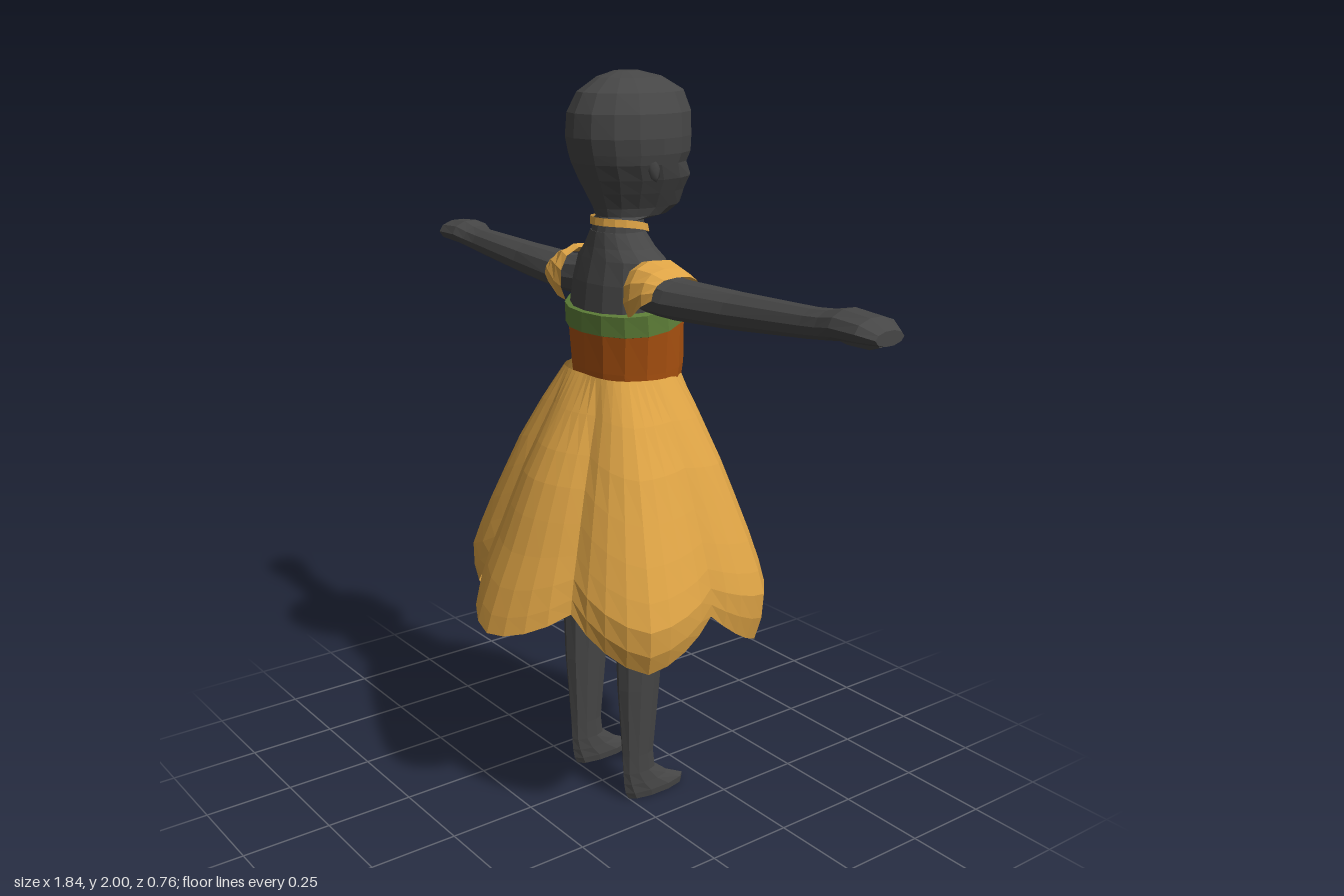
import * as THREE from 'three';

const mat = (name, color, side = THREE.FrontSide) => {
  const m = new THREE.MeshStandardMaterial({ color, side });
  m.name = name;
  return m;
};

// Faceted skin through a list of point rings; closed rings wrap around and may get end caps
function loft(rings, { closed = true, caps = true, flip = false } = {}) {
  const centre = (r) => r.map(() => [0, 1, 2].map((k) => r.reduce((s, p) => s + p[k], 0) / r.length));
  const all = closed && caps ? [centre(rings[0]), ...rings, centre(rings[rings.length - 1])] : rings;
  const n = all[0].length, index = [];
  for (let i = 0; i < all.length - 1; i++) {
    for (let j = 0; j < (closed ? n : n - 1); j++) {
      const a = i * n + j, b = i * n + (j + 1) % n, c = a + n, d = b + n;
      index.push(...(flip ? [a, c, b, b, c, d] : [a, b, c, b, d, c]));
    }
  }
  const g = new THREE.BufferGeometry();
  g.setAttribute('position', new THREE.Float32BufferAttribute(all.flat(2), 3));
  g.setIndex(index);
  const flat = g.toNonIndexed();
  flat.computeVertexNormals();
  return flat;
}

// Level ring: height at +z side, height at -z side, half width, z limits, x offset
const ring = ([yb, yf, rx, zb, zf], x0 = 0, n = 16) => Array.from({ length: n }, (_, j) => {
  const a = (j / n) * Math.PI * 2, c = Math.cos(a);
  const t = Math.pow((1 - c) / 2, 2);
  return [x0 + rx * Math.sin(a), yb + (yf - yb) * t, (zb + zf) / 2 + (zb - zf) / 2 * c];
});
const level = ([y, rx, zb, zf]) => [y, y, rx, zb, zf];

// Upright ring around the x axis, for arms
const armRing = ([x, y, ry, z, rz], s, n = 10) => Array.from({ length: n }, (_, j) => {
  const a = (j / n) * Math.PI * 2;
  return [s * x, y - ry * Math.sin(a), z + rz * Math.cos(a)];
});

// Skirt rib: an angle from +z and a [radius, y] curve from waist to hem
const rib = (degrees, ...profile) => ({
  angle: THREE.MathUtils.degToRad(degrees),
  curve: new THREE.SplineCurve(profile.map(([r, y]) => new THREE.Vector2(r, y))),
});
const mirrored = ({ angle, curve }) => ({ angle: -angle, curve });

// Skirt petal: bulges along its middle rib and falls back to the valley rib on either side
function petal(from, middle, to, roundness) {
  const rows = 8, cols = 8, grid = [];
  for (let i = 0; i <= rows; i++) {
    const v = 1 - i / rows, row = [];
    for (let j = 0; j <= cols; j++) {
      const u = (j / cols) * 2 - 1, edge = u < 0 ? from : to;
      const p = middle.curve.getPoint(v).lerp(edge.curve.getPoint(v), Math.pow(Math.abs(u), roundness));
      const a = THREE.MathUtils.lerp(middle.angle, edge.angle, Math.abs(u));
      row.push([p.x * Math.sin(a), p.y, -0.05 + p.x * Math.cos(a)]);
    }
    grid.push(row);
  }
  return loft(grid, { closed: false });
}

export function createModel() {
  const model = new THREE.Group();
  model.name = 'dollInPetalDress';
  const skin = mat('charcoal', 0x464646);
  const gold = mat('gold', 0xdda345, THREE.DoubleSide);
  const rust = mat('rust', 0xab5210, THREE.DoubleSide);
  const green = mat('leafGreen', 0x5f8039, THREE.DoubleSide);
  const add = (name, geometry, material) => {
    const m = new THREE.Mesh(geometry, material);
    m.name = name;
    model.add(m);
    return m;
  };

  // Head and neck
  add('head', loft([
    [1.57, 0.077, 0.025, -0.125], [1.63, 0.07, 0.01, -0.115], [1.638, 0.071, 0.01, -0.2],
    [1.66, 0.08, 0.018, -0.24], [1.7, 0.103, 0.038, -0.25], [1.735, 0.122, 0.056, -0.264],
    [1.775, 0.137, 0.073, -0.243], [1.8, 0.143, 0.081, -0.256], [1.84, 0.147, 0.09, -0.257],
    [1.9, 0.141, 0.086, -0.257], [1.95, 0.117, 0.06, -0.238], [1.985, 0.07, 0.008, -0.175],
    [2.0, 0.025, -0.04, -0.11],
  ].map((r) => ring(level(r)))), skin);
  for (const s of [1, -1]) {
    const ear = add(s > 0 ? 'leftEar' : 'rightEar', new THREE.OctahedronGeometry(0.03, 1), skin);
    ear.scale.set(0.4, 1.5, 0.7);
    ear.rotation.x = 0.2;
    ear.position.set(s * 0.125, 1.775, -0.068);
  }

  // Choker
  add('choker', loft([
    [1.617, 1.588, 0.077, 0.024, -0.135], [1.637, 1.607, 0.075, 0.022, -0.13],
  ].map((r) => ring(r)), { caps: false }), gold);

  // Shoulders and chest
  add('torso', loft([
    [1.3, 0.165, 0.05, -0.19], [1.4, 0.165, 0.058, -0.19], [1.47, 0.155, 0.05, -0.18],
    [1.53, 0.14, 0.035, -0.16], [1.56, 0.105, 0.028, -0.14], [1.6, 0.075, 0.02, -0.12],
  ].map((r) => ring(level(r)))), skin);

  // Bodice and its trim
  add('bodice', loft([
    [1.19, 1.19, 0.163, 0.05, -0.21], [1.24, 1.26, 0.168, 0.056, -0.22],
    [1.35, 1.42, 0.18, 0.06, -0.212],
  ].map((r) => ring(r)), { caps: false }), rust);
  add('bodiceTrim', loft([
    [1.34, 1.41, 0.18, 0.06, -0.212], [1.342, 1.412, 0.187, 0.067, -0.218],
    [1.395, 1.488, 0.187, 0.067, -0.2], [1.4, 1.492, 0.165, 0.055, -0.18],
  ].map((r) => ring(r)), { caps: false }), green);

  // Petal skirt: crests and valleys from the +z side round to the -z side
  const crest0 = rib(0, [0.11, 1.23], [0.21, 1.08], [0.28, 0.95], [0.34, 0.8], [0.4, 0.66], [0.43, 0.57]);
  const valley1 = rib(34, [0.13, 1.23], [0.2, 1.08], [0.26, 0.95], [0.31, 0.82], [0.345, 0.73], [0.36, 0.66]);
  const crest1 = rib(64, [0.155, 1.23], [0.275, 1.05], [0.36, 0.88], [0.425, 0.74], [0.46, 0.63], [0.43, 0.53]);
  const valley2 = rib(92, [0.168, 1.23], [0.26, 1.06], [0.325, 0.9], [0.37, 0.78], [0.39, 0.7], [0.39, 0.64]);
  const crest2 = rib(115, [0.17, 1.23], [0.28, 1.05], [0.36, 0.88], [0.42, 0.74], [0.445, 0.64], [0.42, 0.53]);
  const valley3 = rib(146, [0.165, 1.23], [0.21, 1.08], [0.25, 0.95], [0.285, 0.82], [0.31, 0.72], [0.32, 0.63]);
  const crest3 = rib(180, [0.165, 1.23], [0.21, 1.08], [0.255, 0.93], [0.3, 0.79], [0.335, 0.65], [0.31, 0.5]);
  const valley4 = rib(214);
  valley4.curve = valley3.curve;
  add('backPetal', petal(mirrored(valley1), crest0, valley1, 1.6), gold);
  add('frontPetal', petal(valley3, crest3, valley4, 2), gold);
  for (const [name, a, b, c] of [['BackSidePetal', valley1, crest1, valley2], ['FrontSidePetal', valley2, crest2, valley3]]) {
    add('left' + name, petal(a, b, c, 1.4), gold);
    add('right' + name, petal(mirrored(c), mirrored(b), mirrored(a), 1.4), gold);
  }

  for (const s of [1, -1]) {
    const side = s > 0 ? 'left' : 'right';
    // Arm with mitten hand and thumb
    add(side + 'Arm', loft([
      [0.1, 1.46, 0.06, -0.06, 0.07], [0.25, 1.452, 0.051, -0.064, 0.076],
      [0.45, 1.457, 0.046, -0.075, 0.06], [0.7, 1.472, 0.037, -0.08, 0.046],
      [0.75, 1.477, 0.036, -0.085, 0.052], [0.8, 1.486, 0.038, -0.09, 0.065],
      [0.88, 1.485, 0.032, -0.093, 0.067], [0.92, 1.475, 0.018, -0.095, 0.045],
    ].map((r) => armRing(r, s)), { flip: s < 0 }), skin);
    add(side + 'Thumb', loft([
      [0.72, 1.465, 0.015, -0.1, 0.02], [0.78, 1.45, 0.02, -0.12, 0.022],
      [0.84, 1.443, 0.015, -0.128, 0.018], [0.865, 1.445, 0.007, -0.128, 0.009],
    ].map((r) => armRing(r, s, 6)), { flip: s < 0 }), skin);

    // Cap sleeve arching over the shoulder, longer on the inner edge
    add(side + 'Sleeve', loft([
      [0.138, 1.455, 0.083, -0.05, 0.088], [0.165, 1.457, 0.087, -0.05, 0.09],
      [0.205, 1.457, 0.07, -0.055, 0.088], [0.235, 1.457, 0.051, -0.06, 0.082],
    ].map(([x, y, ry, z, rz], i) => Array.from({ length: 9 }, (_, j) => {
      const low = [0.75, 0.6, 0.25, 0][i];
      const a = Math.PI + low * 0.5 - (j / 8) * (Math.PI + 1.5 * low), c = Math.cos(a);
      return [s * x, y + ry * Math.sin(a), z + rz * Math.sign(c) * Math.pow(Math.abs(c), 0.7)];
    })), { closed: false, flip: s < 0 }), gold);

    // Bloomer leg
    add(side + 'Bloomer', loft([
      [0.655, 0.06, 0.035, -0.115], [0.64, 0.08, 0.05, -0.135], [0.67, 0.097, 0.065, -0.15],
      [0.74, 0.102, 0.07, -0.155], [0.9, 0.1, 0.06, -0.155], [1.15, 0.05, 0.02, -0.15],
    ].map((r) => ring(level(r), s * 0.115, 12))), rust);

    // Leg and foot
    add(side + 'Leg', loft([
      [0, 0.027, 0, -0.193], [0.02, 0.03, 0.01, -0.195], [0.05, 0.028, 0.015, -0.135],
      [0.085, 0.026, 0.018, -0.092], [0.14, 0.028, 0.02, -0.084], [0.35, 0.043, 0.035, -0.1],
      [0.62, 0.058, 0.042, -0.118], [0.8, 0.064, 0.045, -0.13],
    ].map((r) => ring(level(r), s * 0.125, 10))), skin);
  }
  return model;
}
